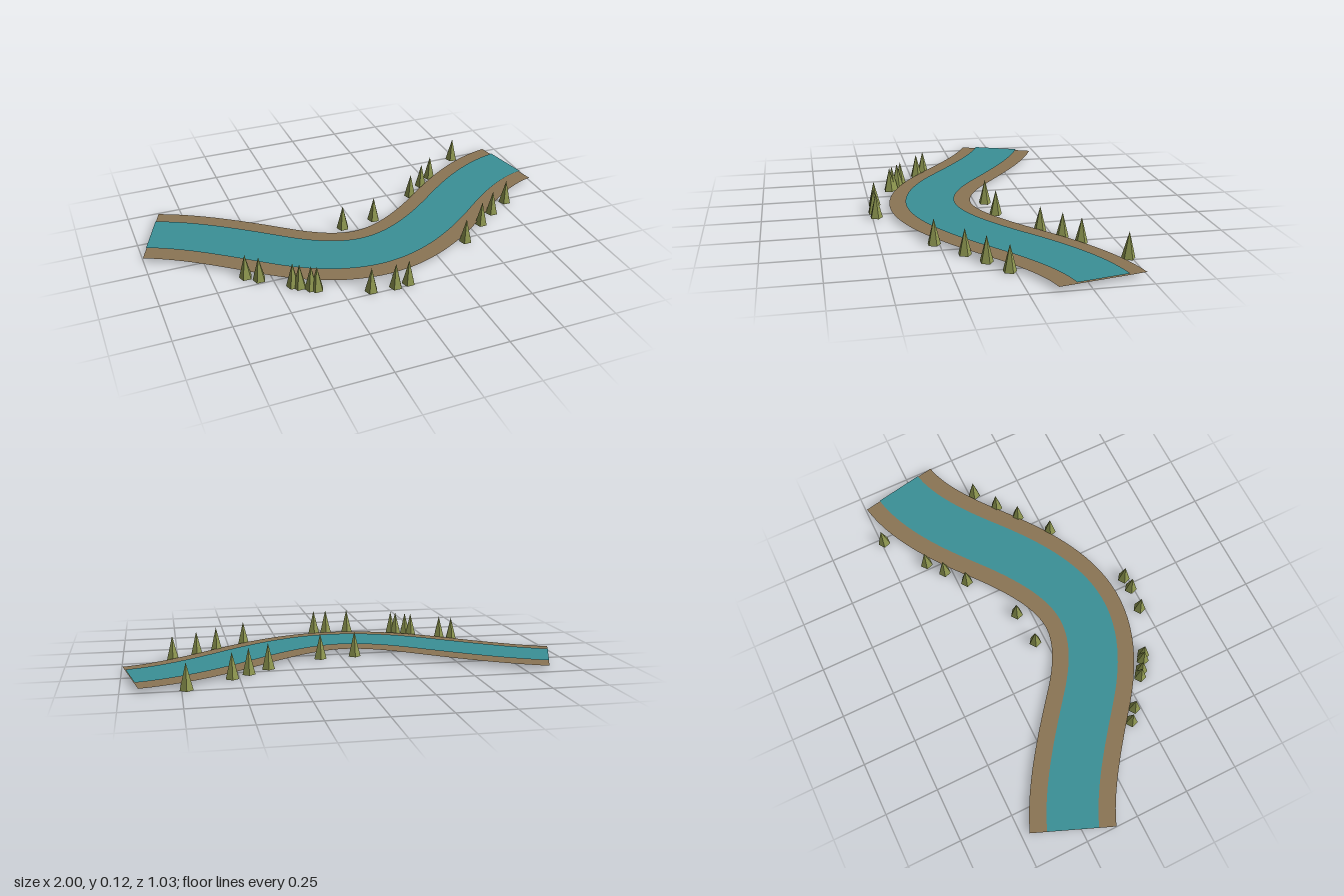
import * as THREE from 'three';

const earth = new THREE.MeshStandardMaterial({ color: 0x8b7555, side: THREE.DoubleSide });
earth.name = 'earth brown';
const waterBlue = new THREE.MeshStandardMaterial({ color: 0x3a9097, side: THREE.DoubleSide });
waterBlue.name = 'water teal';
const foliage = new THREE.MeshStandardMaterial({ color: 0x8e9750, flatShading: true });
foliage.name = 'foliage olive';

// River centreline: x, z and slope dz/dx at each knot
const knots = [
  [-0.929, -0.285, 0.4],
  [-0.42, 0.055, 0.8],
  [-0.03, 0.22, 0],
  [0.5, -0.045, -0.83],
  [0.959, -0.306, -0.19],
];

function centreline() {
  const path = new THREE.CurvePath();
  for (let i = 0; i < knots.length - 1; i++) {
    const [x0, z0, m0] = knots[i];
    const [x1, z1, m1] = knots[i + 1];
    const h = (x1 - x0) / 3;
    path.add(new THREE.CubicBezierCurve(
      new THREE.Vector2(x0, z0), new THREE.Vector2(x0 + h, z0 + h * m0),
      new THREE.Vector2(x1 - h, z1 - h * m1), new THREE.Vector2(x1, z1)));
  }
  return path;
}

// Flat strip following the centreline at height y
function ribbon(path, halfWidth, y, material, name) {
  const steps = 64, pos = [], index = [];
  for (let i = 0; i <= steps; i++) {
    const p = path.getPointAt(i / steps);
    const t = path.getTangentAt(i / steps);
    for (const s of [-1, 1]) pos.push(p.x - t.y * halfWidth * s, y, p.y + t.x * halfWidth * s);
    if (i < steps) {
      const a = i * 2;
      index.push(a, a + 1, a + 2, a + 1, a + 3, a + 2);
    }
  }
  const geo = new THREE.BufferGeometry();
  geo.setAttribute('position', new THREE.Float32BufferAttribute(pos, 3));
  geo.setIndex(index);
  geo.computeVertexNormals();
  const mesh = new THREE.Mesh(geo, material);
  mesh.name = name;
  return mesh;
}

// Tree positions (x, z) along both banks
const northTrees = [
  [-0.063, -0.046], [0.102, -0.064], [0.361, -0.208],
  [0.455, -0.283], [0.532, -0.345], [0.73, -0.486],
];
const southTrees = [
  [-0.605, 0.18], [-0.555, 0.221], [-0.433, 0.318], [-0.408, 0.337], [-0.366, 0.367],
  [-0.344, 0.381], [-0.131, 0.477], [-0.022, 0.488], [0.041, 0.483],
  [0.426, 0.273], [0.565, 0.165], [0.661, 0.093], [0.773, 0.022],
];

export function createModel() {
  const model = new THREE.Group();
  model.name = 'riverBend';

  // Earth bed with the water strip just above it
  const path = centreline();
  model.add(ribbon(path, 0.192, 0.018, earth, 'riverBank'));
  model.add(ribbon(path, 0.115, 0.024, waterBlue, 'water'));

  // Five-sided conifers
  const height = 0.117;
  const cone = new THREE.ConeGeometry(0.03, height, 5);
  cone.rotateY(Math.PI);
  cone.translate(0, height / 2, 0);
  const trees = new THREE.Group();
  trees.name = 'trees';
  for (const [x, z] of [...northTrees, ...southTrees]) {
    const tree = new THREE.Mesh(cone, foliage);
    tree.name = 'tree';
    tree.position.set(x, 0, z);
    trees.add(tree);
  }
  model.add(trees);
  return model;
}
